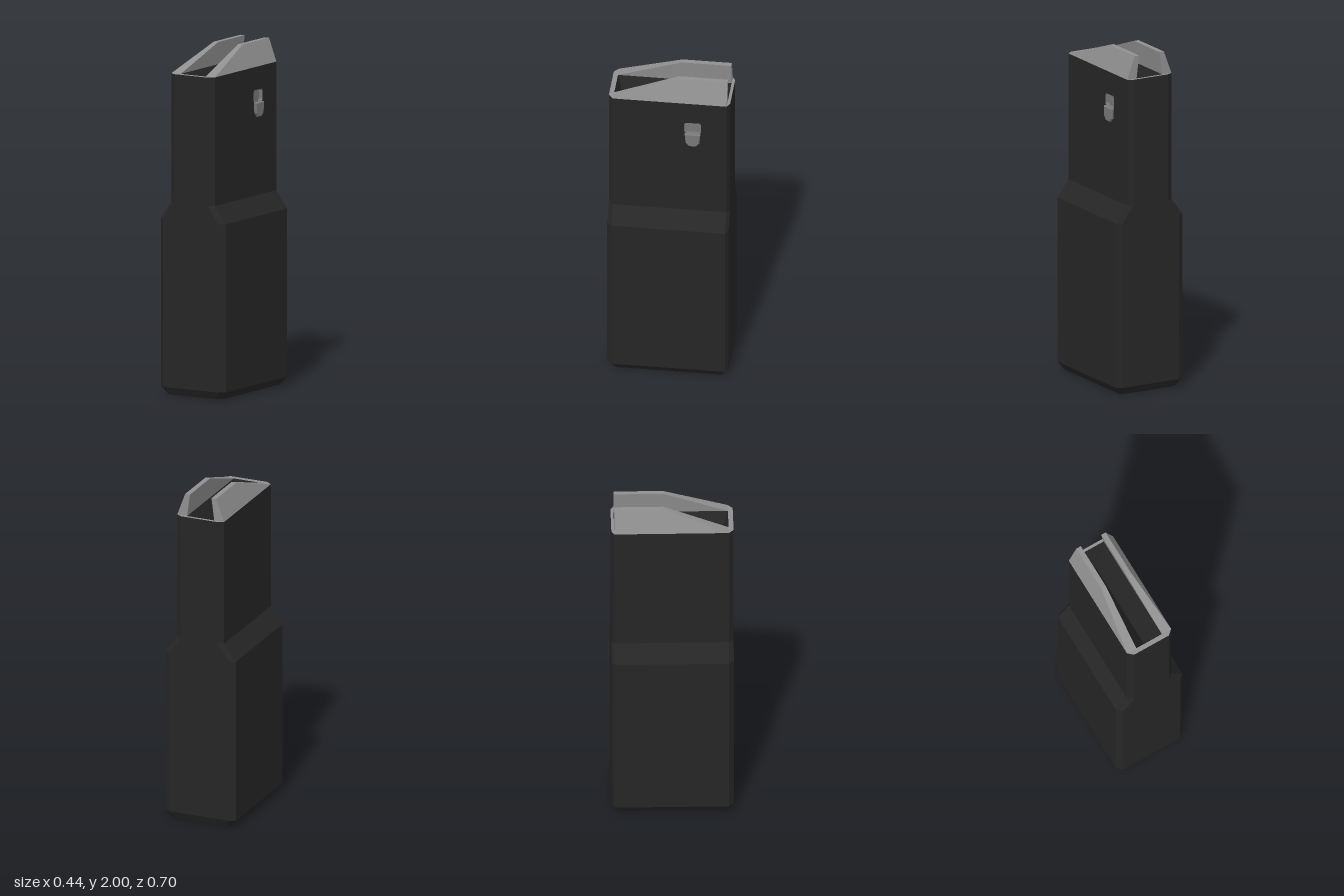
import * as THREE from 'three';

const FRONT = 0.322, BACK = -0.333, TOP = 1.866, NECK = 0.147;

const black = new THREE.MeshStandardMaterial({ name: 'black body', color: 0x262626 });
const grey = new THREE.MeshStandardMaterial({ name: 'light grey metal', color: 0x909090 });
const catchGrey = new THREE.MeshStandardMaterial({ name: 'mid grey catch', color: 0x787878 });

// Flat-faced geometry from convex polygons, each counter-clockwise from outside
function faces(polygons) {
  const pos = [];
  for (const p of polygons) {
    for (let i = 1; i < p.length - 1; i++) pos.push(...p[0], ...p[i], ...p[i + 1]);
  }
  const g = new THREE.BufferGeometry();
  g.setAttribute('position', new THREE.Float32BufferAttribute(pos, 3));
  g.computeVertexNormals();
  return g;
}

// Rectangle with chamfered corners, running front, +x side, back, -x side
function section(y, half, chamfer = 0.032, inset = 0) {
  const f = 0.35 - inset, b = -0.35 + inset, n = half - chamfer;
  return [
    [n, y, f], [half, y, FRONT - inset], [half, y, BACK + inset], [n, y, b],
    [-n, y, b], [-half, y, BACK + inset], [-half, y, FRONT - inset], [-n, y, f],
  ];
}

const toShape = (pts) => new THREE.Shape(pts.map(([x, y]) => new THREE.Vector2(x, y)));

export function createModel() {
  const model = new THREE.Group();
  const add = (name, geometry, material) => {
    const m = new THREE.Mesh(geometry, material);
    m.name = name;
    model.add(m);
    return m;
  };

  // Body: wide lower part, sloped shoulder, narrow neck
  const rings = [
    section(0, 0.187, 0.03, 0.025), section(0.045, 0.22), section(1.02, 0.22),
    section(1.12, NECK), section(TOP, NECK),
  ];
  const shell = [[...rings[0]].reverse()];
  for (let r = 0; r < rings.length - 1; r++) {
    for (let i = 0; i < 8; i++) {
      if (r === 3 && i === 1) continue; // left open for the slotted panel
      const j = (i + 1) % 8;
      shell.push([rings[r][i], rings[r][j], rings[r + 1][j], rings[r + 1][i]]);
    }
  }
  add('body', faces(shell), black);

  // Neck side panel with the catch slot, drawn as (-z, y)
  const slot = [
    [0.1, 1.655], [0.175, 1.655], [0.187, 1.672], [0.187, 1.72],
    [0.178, 1.732], [0.097, 1.732], [0.088, 1.72], [0.088, 1.672],
  ];
  const panel = toShape([[-FRONT, 1.12], [-BACK, 1.12], [-BACK, TOP], [-FRONT, TOP]]);
  panel.holes.push(toShape(slot));
  add('neckSidePanel', new THREE.ShapeGeometry(panel).rotateY(Math.PI / 2).translate(NECK, 0, 0), black);

  // Recess behind the slot
  const at = ([u, v], x) => [x, v, -u];
  const recess = [slot.map((p) => at(p, NECK - 0.025))];
  slot.forEach((p, i) => {
    const q = slot[(i + 1) % slot.length];
    recess.push([at(p, NECK), at(q, NECK), at(q, NECK - 0.025), at(p, NECK - 0.025)]);
  });
  add('catchRecess', faces(recess), catchGrey);

  // Raised tongue under the recess
  const tongue = toShape([
    [0.103, 1.6], [0.12, 1.581], [0.155, 1.581], [0.172, 1.6], [0.178, 1.655], [0.097, 1.655],
  ]);
  const tongueGeo = new THREE.ExtrudeGeometry(tongue, {
    depth: 0.015, bevelEnabled: true, bevelThickness: 0.006, bevelSize: 0.005, bevelSegments: 1,
  });
  add('catchTongue', tongueGeo.rotateY(Math.PI / 2).translate(NECK - 0.005, 0, 0), catchGrey);

  // Top rim around the opening, drawn as (x, -z)
  const IN = 0.085;
  const rim = toShape(rings[4].map(([x, , z]) => [x, -z]));
  rim.holes.push(toShape([[-IN, -FRONT], [IN, -FRONT], [IN, -BACK], [-IN, -BACK]]));
  add('topRim', new THREE.ShapeGeometry(rim).rotateX(-Math.PI / 2).translate(0, TOP, 0), grey);

  // Well inside the opening, narrowing to a valley line
  const fr = [IN, TOP, FRONT], br = [IN, TOP, BACK], fl = [-IN, TOP, FRONT], bl = [-IN, TOP, BACK];
  const vf = [0, TOP - 0.18, 0.26], vb = [0, TOP - 0.18, -0.27];
  add('well', faces([[fr, br, vb, vf], [bl, fl, vf, vb], [fl, fr, vf], [br, bl, vb]]), black);

  // Pair of feed lips leaning inward, sloping down to the front
  for (const s of [1, -1]) {
    const profile = (low, high) => [
      [s * low, TOP, FRONT], [s * low, TOP, BACK], [s * high, 2, BACK], [s * high, 2, -0.05],
    ];
    const [a, b, c, d] = profile(NECK, 0.0975);
    const [e, f, g, h] = profile(IN, 0.0675);
    const polys = [[a, b, c, d], [e, h, g, f], [d, c, g, h], [a, d, h, e], [b, f, g, c]];
    if (s < 0) polys.forEach((p) => p.reverse());
    add(s > 0 ? 'leftLip' : 'rightLip', faces(polys), grey);
  }

  return model;
}
